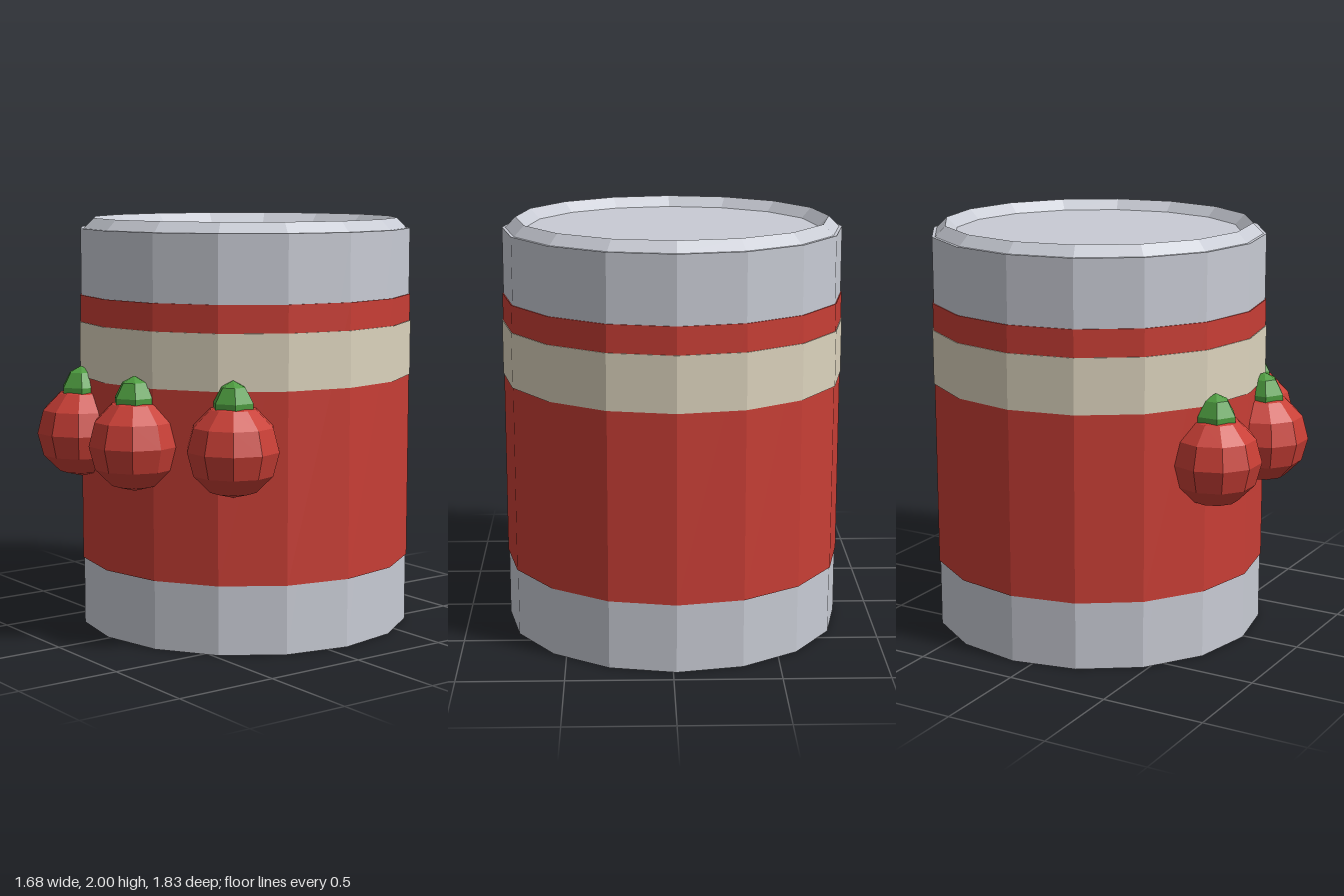
import * as THREE from 'three';

export function createModel() {
  const model = new THREE.Group();
  model.name = 'tinCan';

  const material = (name, color) => {
    const m = new THREE.MeshStandardMaterial({ color, flatShading: true });
    m.name = name;
    return m;
  };
  const metal = material('tin metal', 0xc8cbd4);
  const red = material('tomato red', 0xc83e35);
  const cream = material('cream', 0xdcd3bd);
  const green = material('leaf green', 0x4c9a3e);

  const add = (parent, name, geometry, mat, y = 0) => {
    const mesh = new THREE.Mesh(geometry, mat);
    mesh.name = name;
    mesh.position.y = y;
    parent.add(mesh);
    return mesh;
  };

  // Sixteen-sided can, set back to leave room for the tomatoes in front
  const can = new THREE.Group();
  can.name = 'can';
  can.position.set(-0.015, 0, -0.1);
  model.add(can);

  const drum = (name, radius, y0, y1, mat) =>
    add(can, name, new THREE.CylinderGeometry(radius, radius, y1 - y0, 16), mat, (y0 + y1) / 2);
  drum('canBody', 0.815, 0, 1.95, metal);
  drum('label', 0.82, 0.33, 1.63, red);
  drum('labelBand', 0.824, 1.235, 1.5, cream);

  // Raised ridge around the lid
  const rim = new THREE.TorusGeometry(0.75, 0.05, 4, 16);
  rim.rotateX(Math.PI / 2);
  add(can, 'lidRim', rim, metal, 1.95);

  // Tomatoes half sunk into the label, evenly spaced around the front
  const stemProfile = [[0.1, 0], [0.06, 0.07], [0, 0.1]].map(([r, y]) => new THREE.Vector2(r, y));
  for (let i = 0; i < 3; i++) {
    const angle = 0.7 + 0.6 * i;
    const tomato = new THREE.Group();
    tomato.name = 'tomato' + (i + 1);
    tomato.position.set(0.83 * Math.cos(angle), 0.97, 0.83 * Math.sin(angle));
    can.add(tomato);
    add(tomato, 'tomatoBody', new THREE.SphereGeometry(0.22, 10, 6), red);
    add(tomato, 'tomatoStem', new THREE.LatheGeometry(stemProfile, 6), green, 0.22);
    add(tomato, 'stemBase', new THREE.CylinderGeometry(0.1, 0.1, 0.03, 6), green, 0.205);
  }
  return model;
}
